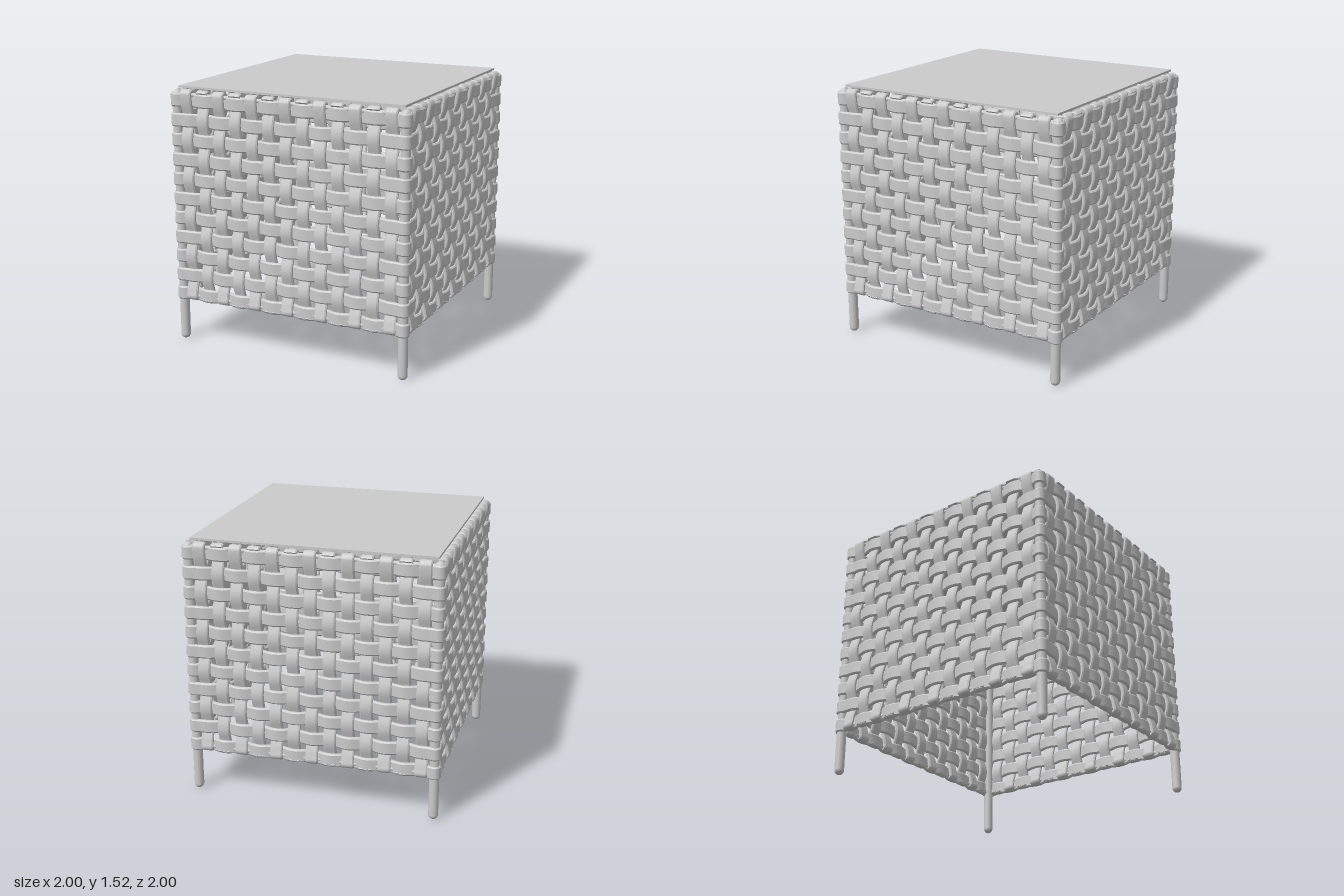
import * as THREE from 'three';
import { toCreasedNormals } from 'three/addons/utils/BufferGeometryUtils.js';

const CORNER = 0.705;            // leg centre offset from the middle
const WALL = 0.712;              // middle plane of each woven wall
const ROWS = 11, ROW0 = 0.294, ROW_PITCH = 0.1155;
const COLS = 6, COL_PITCH = 0.1056; // columns run from -COLS to +COLS
const WAVE = 0.014, THICK = 0.011;
const SECTION = [[1, -0.8], [1, 0.8], [0.45, 1], [-0.45, 1], [-1, 0.8], [-1, -0.8], [-0.45, -1], [0.45, -1]];

// Sweep a flat bevelled strip along a path; `w` is the constant width direction.
function strip(path, w, halfWidth, closed) {
  const n = path.length, m = SECTION.length, pos = [], idx = [];
  path.forEach((p, i) => {
    const a = path[closed ? (i + n - 1) % n : Math.max(i - 1, 0)];
    const b = path[closed ? (i + 1) % n : Math.min(i + 1, n - 1)];
    const out = b.clone().sub(a).cross(w).normalize();
    for (const [s, t] of SECTION) {
      const v = p.clone().addScaledVector(out, s * THICK).addScaledVector(w, t * halfWidth);
      pos.push(v.x, v.y, v.z);
    }
  });
  for (let i = 0; i < (closed ? n : n - 1); i++) {
    for (let j = 0; j < m; j++) {
      const i2 = (i + 1) % n, j2 = (j + 1) % m;
      const a = i * m + j, b = i2 * m + j, c = i2 * m + j2, d = i * m + j2;
      idx.push(a, b, d, b, c, d);
    }
  }
  if (!closed) {
    const e = (n - 1) * m;
    for (let j = 1; j < m - 1; j++) idx.push(0, j, j + 1, e, e + j + 1, e + j);
  }
  const g = new THREE.BufferGeometry();
  g.setAttribute('position', new THREE.Float32BufferAttribute(pos, 3));
  g.setIndex(idx);
  return toCreasedNormals(g, 0.5);
}

// Closed band weaving round all four walls and wrapping the legs.
function bandGeometry(sign) {
  const path = [], up = new THREE.Vector3(0, 1, 0), bend = 0.026, steps = 52;
  for (let side = 0; side < 4; side++) {
    const turn = side * Math.PI / 2;
    for (let i = 0; i <= steps; i++) {
      const u = (i / steps * 2 - 1) * CORNER;
      const wave = WALL - sign * WAVE * Math.cos(Math.PI * u / COL_PITCH);
      const k = THREE.MathUtils.smoothstep(Math.abs(u), 0.64, CORNER);
      path.push(new THREE.Vector3(u, 0, THREE.MathUtils.lerp(wave, CORNER + bend, k)).applyAxisAngle(up, turn));
    }
    for (let i = 1; i < 6; i++) {
      const t = i / 6 * Math.PI / 2;
      path.push(new THREE.Vector3(CORNER + bend * Math.sin(t), 0, CORNER + bend * Math.cos(t)).applyAxisAngle(up, turn));
    }
  }
  return strip(path, up, 0.039, true);
}

// Upright strip weaving through the rows and hooking over both rims.
function uprightGeometry(sign) {
  const path = [], r = 0.018, hook = Math.PI * 0.85;
  const add = (d, y) => path.push(new THREE.Vector3(0, y, WALL + d));
  for (let i = 0; i <= 8; i++) {
    const t = (i / 8 - 1) * hook;
    add(sign * r * Math.cos(t), 0.283 + r * Math.sin(t));
  }
  const steps = (ROWS - 1) * 4;
  for (let i = 0; i <= steps; i++) {
    add(sign * WAVE * Math.cos(Math.PI * i / 4), ROW0 + i / 4 * ROW_PITCH);
  }
  for (let i = 0; i <= 8; i++) {
    const t = i / 8 * hook;
    add(sign * r * Math.cos(t), 1.482 + r * Math.sin(t));
  }
  return strip(path, new THREE.Vector3(-1, 0, 0), 0.036, false);
}

export function createModel() {
  const model = new THREE.Group();
  model.name = 'wovenSideTable';
  const material = new THREE.MeshStandardMaterial({ color: 0xcccccc });
  const body = new THREE.Group();
  body.name = 'tableBody';
  body.rotation.y = Math.PI / 6;
  model.add(body);
  const add = (parent, geometry, name, x, y, z) => {
    const mesh = new THREE.Mesh(geometry, material);
    mesh.name = name;
    mesh.position.set(x, y, z);
    parent.add(mesh);
    return mesh;
  };

  // Thin table top
  add(body, new THREE.BoxGeometry(1.396, 0.012, 1.396), 'tableTop', 0, 1.519, 0);

  // Horizontal woven bands
  const bands = [bandGeometry(1), bandGeometry(-1)];
  for (let i = 0; i < ROWS; i++) add(body, bands[i % 2], 'wovenBand', 0, ROW0 + i * ROW_PITCH, 0);

  // Four walls: upright strips, rim bars and a leg at the corner
  const uprights = [uprightGeometry(1), uprightGeometry(-1)];
  const bar = new THREE.CylinderGeometry(0.012, 0.012, 2 * CORNER, 12).rotateZ(Math.PI / 2);
  const leg = new THREE.CapsuleGeometry(0.028, 1.449, 6, 20);
  for (let side = 0; side < 4; side++) {
    const wall = new THREE.Group();
    wall.name = 'wall';
    wall.rotation.y = side * Math.PI / 2;
    body.add(wall);
    for (let k = -COLS; k <= COLS; k++) {
      add(wall, uprights[Math.abs(k) % 2], 'uprightStrip', k * COL_PITCH, 0, 0);
    }
    add(wall, bar, 'topRimBar', 0, 1.48, WALL);
    add(wall, bar, 'bottomRimBar', 0, 0.283, WALL);
    add(wall, leg, 'leg', CORNER, 0.7525, CORNER);
  }
  return model;
}
